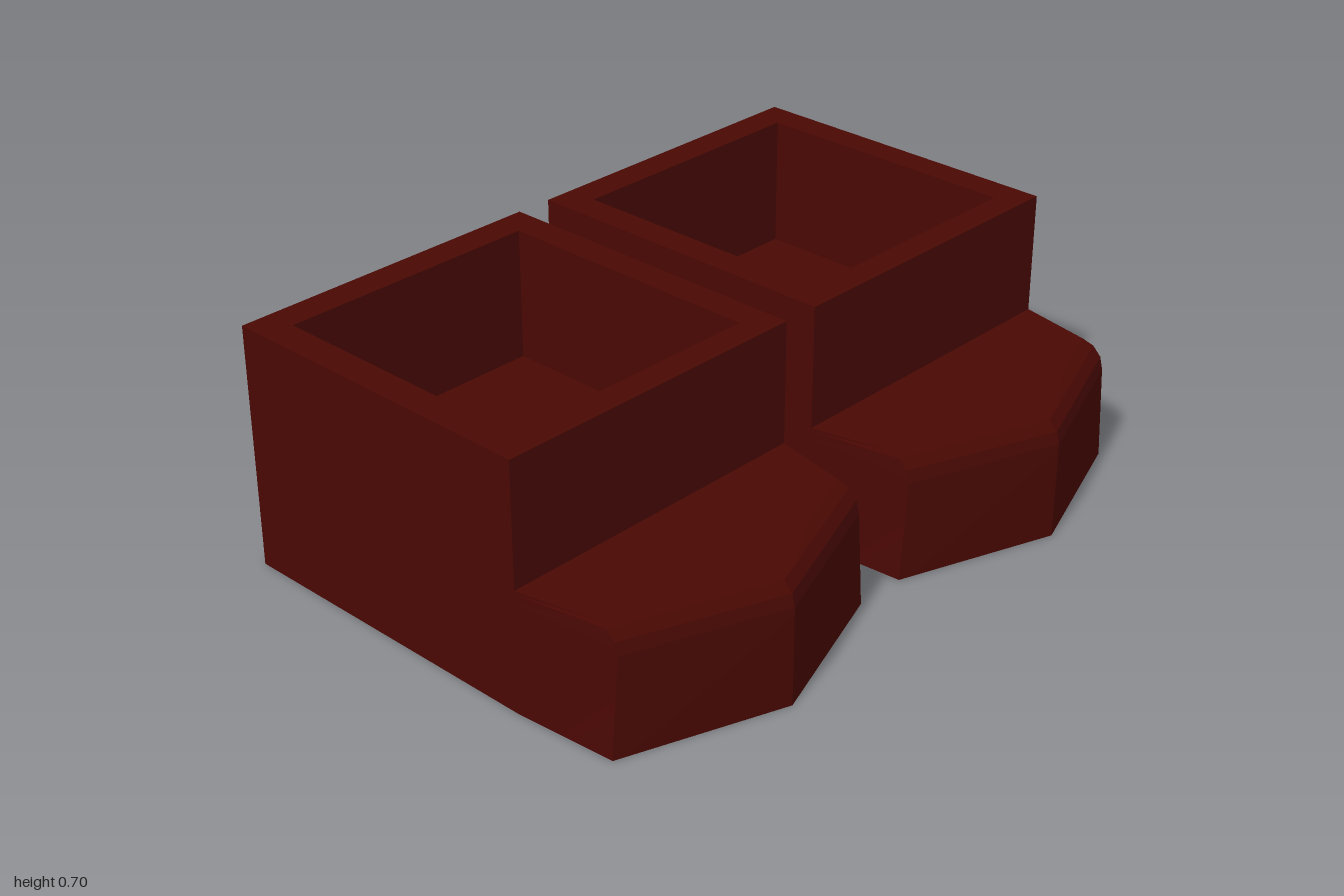
import * as THREE from 'three';
import { toCreasedNormals } from 'three/addons/utils/BufferGeometryUtils.js';

const HALF = 0.473;      // half width of one shoe
const STEP = 0.35;       // height of the toe and of the bend in the heel
const material = new THREE.MeshStandardMaterial({ color: 0x490803 });

// Joins rings { y, pts: [[x, z], ...] } (anticlockwise from above) and caps both ends.
function loft(rings) {
  const pos = [];
  const tri = (a, b, c) => {
    if (new THREE.Triangle(a, b, c).getArea() < 1e-7) return;
    for (const p of [a, b, c]) pos.push(p.x, p.y, p.z);
  };
  const loops = rings.map(({ y, pts }) => pts.map(([x, z]) => new THREE.Vector3(x, y, z)));
  const n = loops[0].length;
  for (let r = 0; r < loops.length - 1; r++) {
    const lo = loops[r], hi = loops[r + 1];
    for (let i = 0; i < n; i++) {
      const j = (i + 1) % n;
      tri(lo[i], lo[j], hi[j]);
      tri(lo[i], hi[j], hi[i]);
    }
  }
  const bottom = loops[0], top = loops[loops.length - 1];
  for (let i = 1; i < n - 1; i++) {
    tri(bottom[0], bottom[i + 1], bottom[i]);
    tri(top[0], top[i], top[i + 1]);
  }
  const geo = new THREE.BufferGeometry();
  geo.setAttribute('position', new THREE.Float32BufferAttribute(pos, 3));
  return toCreasedNormals(geo, 0.2);
}

const rect = (y, x0, x1, w) => ({ y, pts: [[x0, w], [x1, w], [x1, -w], [x0, -w]] });
const toeRing = (y, cornerX, cornerZ, tip) => ({
  y,
  pts: [[0.39, HALF], [cornerX, cornerZ], [tip, 0], [cornerX, -cornerZ], [0.39, -HALF]],
});

// Triangular heel section, its two sides split so that they twist smoothly
function heelRing(y, tip) {
  const pts = [];
  for (let i = -8; i <= 8; i++) {
    const t = i / 8;
    pts.push([THREE.MathUtils.lerp(tip, -0.58, Math.abs(t)), t * HALF]);
  }
  return { y, pts };
}

function part(name, rings) {
  const mesh = new THREE.Mesh(loft(rings), material);
  mesh.name = name;
  return mesh;
}

function createShoe(name) {
  const shoe = new THREE.Group();
  shoe.name = name;

  // Open box: outer walls, rim, inner walls and floor
  shoe.add(part('ankleBox', [
    rect(0, -0.58, 0.39, HALF),
    rect(0.7, -0.58, 0.39, HALF),
    rect(0.7, -0.49, 0.31, 0.385),
    rect(0.32, -0.49, 0.31, 0.385),
  ]));

  // Pointed heel, bent at mid height and leaning in to the rim
  const heel = [];
  for (let i = 0; i <= 16; i++) {
    const y = (i / 16) * 0.7;
    const tip = y < STEP
      ? THREE.MathUtils.mapLinear(y, 0, STEP, -0.84, -0.73)
      : THREE.MathUtils.mapLinear(y, STEP, 0.7, -0.73, -0.58);
    heel.push(heelRing(y, tip));
  }
  shoe.add(part('heel', heel));

  // Pointed toe with a rounded upper edge
  const toe = [toeRing(0, 0.68, 0.45, 0.84)];
  for (let i = 0; i <= 3; i++) {
    const a = (i / 3) * Math.PI / 2, inset = 0.07 * (1 - Math.cos(a));
    toe.push(toeRing(STEP - 0.07 + 0.07 * Math.sin(a), 0.68 - inset, 0.428, 0.84 - inset));
  }
  shoe.add(part('toe', toe));
  return shoe;
}

export function createModel() {
  const model = new THREE.Group();
  model.name = 'pairOfShoes';
  for (const [name, side] of [['nearShoe', 1], ['farShoe', -1]]) {
    const shoe = createShoe(name);
    shoe.position.z = side * (1 - HALF);
    model.add(shoe);
  }
  return model;
}
